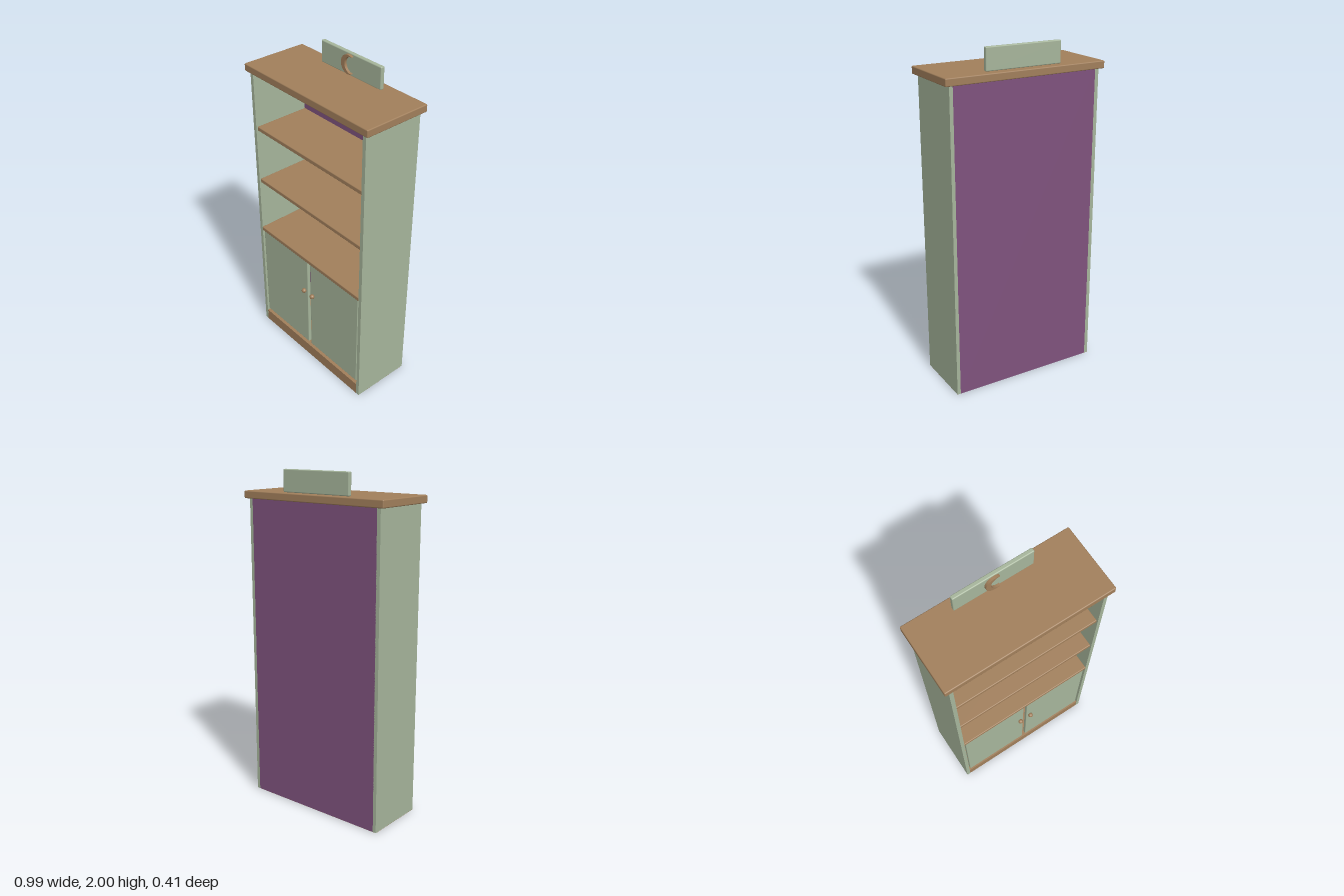
import * as THREE from 'three';
import { RoundedBoxGeometry } from 'three/addons/geometries/RoundedBoxGeometry.js';

const material = (name, color) => {
  const m = new THREE.MeshStandardMaterial({ color });
  m.name = name;
  return m;
};

export function createModel() {
  const sage = material('sage green', 0xa6b59b);
  const wood = material('warm wood', 0xa17f5b);
  const plum = material('plum', 0x7f527d);
  const group = new THREE.Group();
  group.name = 'bookcase';

  const add = (name, geometry, mat, x = 0, y = 0, z = 0) => {
    const mesh = new THREE.Mesh(geometry, mat);
    mesh.name = name;
    mesh.position.set(x, y, z);
    group.add(mesh);
    return mesh;
  };
  // Box given by its limits on each axis; a radius softens the edges
  const box = (name, mat, [x0, x1], [y0, y1], [z0, z1], radius = 0) => {
    const size = [x1 - x0, y1 - y0, z1 - z0];
    const geometry = radius
      ? new RoundedBoxGeometry(...size, 2, radius)
      : new THREE.BoxGeometry(...size);
    return add(name, geometry, mat, (x0 + x1) / 2, (y0 + y1) / 2, (z0 + z1) / 2);
  };

  // Carcass
  box('plinth', wood, [-0.466, 0.466], [0, 0.077], [-0.185, 0.186]);
  box('backPanel', plum, [-0.446, 0.446], [0.002, 1.83], [-0.187, -0.172]);
  box('topSlab', wood, [-0.495, 0.495], [1.828, 1.872], [-0.205, 0.205], 0.006);

  // Shelves, the lowest one reaching the front edge
  [[0.766, 0.188], [1.12, 0.178], [1.475, 0.178]].forEach(([y, front], i) =>
    box('shelf' + (i + 1), wood, [-0.446, 0.446], [y - 0.013, y + 0.013], [-0.18, front], 0.005));

  // Side panels, doors and knobs, mirrored
  for (const [side, s] of [['left', 1], ['right', -1]]) {
    const span = (a, b) => (s > 0 ? [a, b] : [-b, -a]);
    box(side + 'Side', sage, span(0.444, 0.467), [0.002, 1.83], [-0.187, 0.187]);
    box(side + 'Door', sage, span(0.012, 0.434), [0.1, 0.754], [0.16, 0.182], 0.004);
    add(side + 'Knob', new THREE.SphereGeometry(0.015, 20, 14), wood, s * 0.038, 0.52, 0.191);
  }

  // Header board
  box('headerBoard', sage, [-0.234, 0.234], [1.872, 2], [-0.154, -0.129], 0.006);

  // Crescent ornament: outer arc, then the inner arc back to the first tip
  const tip = Math.atan2(0.048, 0.027);
  const innerTip = Math.atan2(0.048, 0.0057);
  const crescent = new THREE.Shape();
  crescent.absarc(0, 0, 0.055, tip, 2 * Math.PI - tip, false);
  crescent.absarc(0.0213, 0, 0.0483, 2 * Math.PI - innerTip, innerTip, true);
  const moon = new THREE.ExtrudeGeometry(crescent, { depth: 0.016, bevelEnabled: false, curveSegments: 28 });
  add('crescent', moon, wood, -0.001, 1.939, -0.129);

  return group;
}
